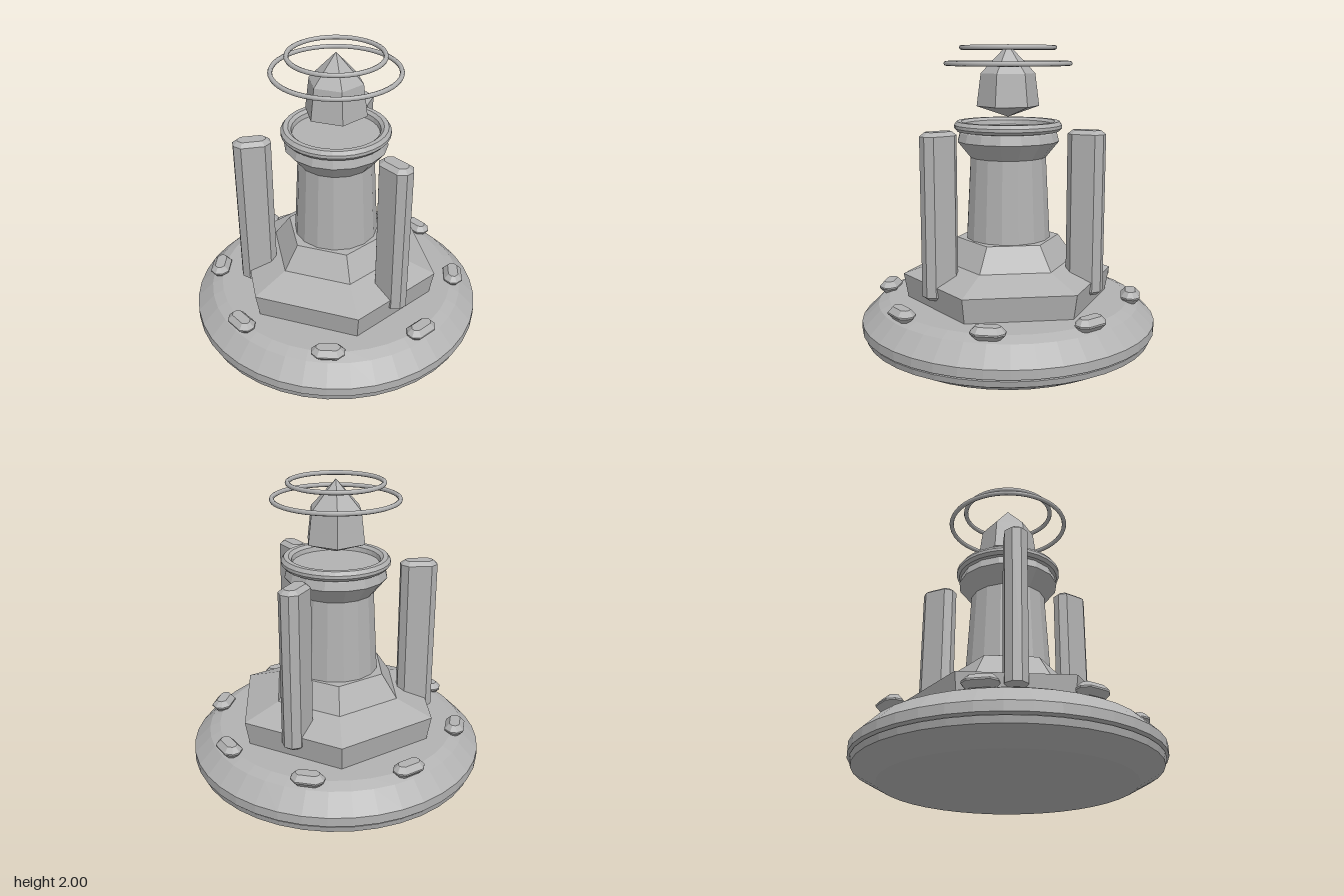
import * as THREE from 'three';

const stone = new THREE.MeshStandardMaterial({ color: 0xb2b2b2 });
stone.name = 'pale grey';

// Give every face its own normal for a faceted look
function faceted(geometry) {
  const flat = geometry.index ? geometry.toNonIndexed() : geometry;
  flat.computeVertexNormals();
  return flat;
}

// Faceted turned solid from [radius, height] pairs, bottom to top
function turned(name, profile, sides) {
  const points = profile.map(([r, y]) => new THREE.Vector2(r, y));
  const geometry = new THREE.LatheGeometry(points, sides).rotateY(Math.PI / 2);
  const mesh = new THREE.Mesh(faceted(geometry), stone);
  mesh.name = name;
  return mesh;
}

// Upright block with cut corners and bevelled ends, resting on y = 0
function bevelledBlock(width, height, depth, cut, inset, rise) {
  const x = width / 2 - inset;
  const z = depth / 2 - inset;
  const shape = new THREE.Shape([
    [x - cut, -z], [x, -z + cut], [x, z - cut], [x - cut, z],
    [-x + cut, z], [-x, z - cut], [-x, -z + cut], [-x + cut, -z],
  ].map(([a, b]) => new THREE.Vector2(a, b)));
  const geometry = new THREE.ExtrudeGeometry(shape, {
    depth: height - 2 * rise, bevelThickness: rise, bevelSize: inset, bevelSegments: 1,
  });
  geometry.rotateX(-Math.PI / 2).translate(0, rise, 0);
  return faceted(geometry);
}

// Copies of a part spaced evenly about the axis, the first at the front
function ringOf(name, geometry, count, radius, y) {
  const group = new THREE.Group();
  group.name = name + 's';
  for (let i = 0; i < count; i++) {
    const angle = (i / count) * Math.PI * 2;
    const mesh = new THREE.Mesh(geometry, stone);
    mesh.name = name;
    mesh.position.set(Math.sin(angle) * radius, y, Math.cos(angle) * radius);
    mesh.rotation.y = angle;
    group.add(mesh);
  }
  return group;
}

function halo(name, radius, y) {
  const mesh = new THREE.Mesh(new THREE.TorusGeometry(radius, 0.015, 8, 48).rotateX(Math.PI / 2), stone);
  mesh.name = name;
  mesh.position.y = y;
  return mesh;
}

export function createModel() {
  const model = new THREE.Group();
  model.name = 'crystalTower';

  // Round base with a grooved rim
  model.add(turned('base', [
    [0, 0], [0.80, 0], [0.955, 0.085], [0.965, 0.125], [0.955, 0.13], [0.98, 0.14],
    [0.98, 0.20], [0.87, 0.31], [0.80, 0.34], [0, 0.34],
  ], 40));

  // Stepped six-sided plinth
  model.add(turned('plinth', [
    [0, 0.33], [0.67, 0.33], [0.70, 0.50], [0.45, 0.585], [0.34, 0.74], [0, 0.74],
  ], 6));

  // Column with a flared head
  model.add(turned('column', [
    [0, 0.72], [0.28, 0.72], [0.25, 1.275], [0.335, 1.38], [0.32, 1.435], [0.30, 1.46], [0, 1.46],
  ], 16));

  // Raised rim round a shallow dish
  model.add(turned('rim', [
    [0.30, 1.44], [0.335, 1.445], [0.352, 1.465], [0.352, 1.485], [0.335, 1.508],
    [0.305, 1.508], [0.285, 1.49], [0.28, 1.46],
  ], 32));

  // Floating crystal and its two haloes
  model.add(turned('crystal', [[0, 1.535], [0.205, 1.605], [0.178, 1.815], [0, 2.0]], 6));
  model.add(halo('lowerHalo', 0.40, 1.878));
  model.add(halo('upperHalo', 0.30, 1.978));

  // Floating pillars and the studs round the base
  model.add(ringOf('pillar', bevelledBlock(0.14, 1.06, 0.235, 0.025, 0.03, 0.025), 3, 0.537, 0.41));
  model.add(ringOf('stud', bevelledBlock(0.21, 0.08, 0.125, 0.022, 0.03, 0.035), 8, 0.82, 0.32));

  return model;
}
